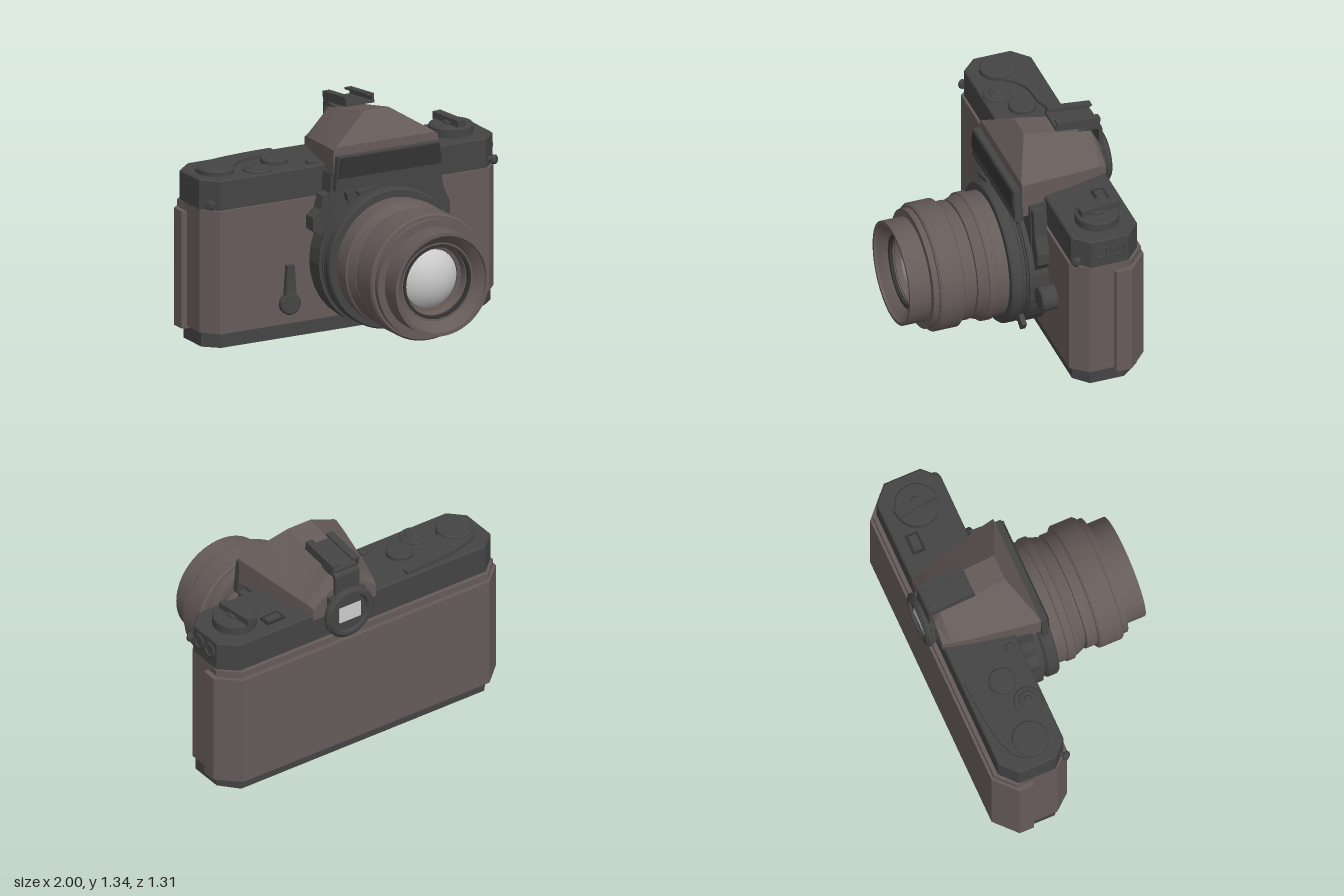
import * as THREE from 'three';
import { toCreasedNormals } from 'three/addons/utils/BufferGeometryUtils.js';

const mat = (color) => new THREE.MeshStandardMaterial({ color });
const brown = mat(0x655b59), dark = mat(0x444444), black = mat(0x333333), glass = mat(0xcccccc);
const CX = 0.13, LY = 0.455; // lens axis

export function createModel() {
  const camera = new THREE.Group();
  camera.name = 'camera';

  const add = (name, geo, material, x = 0, y = 0, z = 0) => {
    const mesh = new THREE.Mesh(geo, material);
    mesh.name = name;
    mesh.position.set(x, y, z);
    camera.add(mesh);
    return mesh;
  };
  const box = (name, m, w, h, d, x, y, z) => add(name, new THREE.BoxGeometry(w, h, d), m, x, y, z);
  const shapeOf = (pts) => new THREE.Shape(pts.map(([x, y]) => new THREE.Vector2(x, y)));
  // plan outline given as [x, z], raised from y0 to y1
  const slab = (name, m, pts, y0, y1, bevel = 0) => {
    const geo = new THREE.ExtrudeGeometry(shapeOf(pts.map(([x, z]) => [x, -z])), {
      depth: y1 - y0 - bevel, bevelEnabled: bevel > 0, bevelSize: bevel, bevelThickness: bevel,
      bevelOffset: -bevel, bevelSegments: 1, curveSegments: 10 });
    return add(name, geo.rotateX(-Math.PI / 2), m, 0, y0, 0);
  };
  // front outline given as [x, y], between two depths
  const plate = (name, m, shape, z0, z1) => add(name, new THREE.ExtrudeGeometry(shape,
    { depth: z1 - z0, bevelEnabled: false, curveSegments: 16 }), m, 0, 0, z0);
  // right half of a plan, mirrored to a closed outline
  const mirrored = (half) => [...half, ...half.slice().reverse().map(([x, z]) => [-x, z])];
  // turned part from [radius, height] points
  const lathe = (pts, seg = 64) => toCreasedNormals(
    new THREE.LatheGeometry(pts.map(([r, h]) => new THREE.Vector2(r, h)), seg), 0.5);
  const knob = (r, h, c = 0.008) => lathe([[0, 0], [r, 0], [r, h - c], [r - c, h], [0, h]], 40);

  // body shell
  slab('body', brown, mirrored([[0.89, -0.155], [0.97, -0.25], [0.97, -0.5], [0.88, -0.58]]), 0.09, 0.83);
  slab('backDoor', brown, mirrored([[0.97, -0.4], [1, -0.41], [1, -0.5], [0.87, -0.62]]), 0.075, 0.78);
  slab('doorRail', brown, mirrored([[0.96, -0.365], [0.98, -0.5], [0.87, -0.605]]), 0.79, 0.83);
  slab('bottomPlate', dark, mirrored([[0.87, -0.18], [0.955, -0.26], [0.955, -0.47], [0.86, -0.58]]), 0, 0.09);
  slab('topCover', dark, mirrored([[0.88, -0.17], [0.97, -0.26], [0.97, -0.49], [0.87, -0.58]]), 0.83, 1.01, 0.008);

  // lens mount and the housing behind it
  const mount = new THREE.Shape();
  mount.absarc(CX, LY, 0.43, 0, Math.PI * 2);
  plate('mountPlate', dark, mount, -0.16, -0.04);
  plate('mountTower', dark, shapeOf([[-0.22, 0.5], [0.49, 0.5], [0.49, 0.85], [0.47, 0.98], [-0.2, 0.98], [-0.21, 0.85]]), -0.18, -0.07);
  plate('mountFront', dark, shapeOf([[-0.1, 0.75], [0.36, 0.75], [0.38, 0.86], [0.3, 0.9], [-0.04, 0.9], [-0.12, 0.86]]), -0.08, -0.03);
  plate('leftShoulder', dark, shapeOf([[0.4, 0.57], [0.54, 0.57], [0.585, 0.63], [0.585, 0.7], [0.54, 0.8], [0.52, 0.96], [0.4, 0.96]]), -0.15, -0.075);
  plate('rightShoulder', dark, shapeOf([[-0.15, 0.57], [-0.25, 0.6], [-0.32, 0.65], [-0.32, 0.73], [-0.27, 0.77], [-0.25, 0.85], [-0.15, 0.88]]), -0.155, -0.075);

  // lens barrel, turned around the optical axis
  const alongZ = (name, pts, m, x, y, z = 0, seg = 64) => add(name, lathe(pts, seg).rotateX(Math.PI / 2), m, x, y, z);
  alongZ('apertureRing', [[0.3, -0.05], [0.41, -0.05], [0.41, -0.03], [0.395, -0.03], [0.395, -0.015], [0.41, -0.01], [0.42, 0],
    [0.42, 0.055], [0.412, 0.066], [0.37, 0.066]], dark, CX, LY);
  alongZ('lensBarrel', [[0.37, 0.06], [0.37, 0.135], [0.38, 0.14], [0.38, 0.185], [0.37, 0.192], [0.348, 0.25], [0.325, 0.25],
    [0.325, 0.268], [0.353, 0.268], [0.353, 0.335], [0.37, 0.335], [0.38, 0.345], [0.38, 0.478], [0.37, 0.49], [0.355, 0.49],
    [0.355, 0.525], [0.31, 0.525], [0.31, 0.655], [0.29, 0.655], [0.285, 0.64], [0.245, 0.605], [0.235, 0.59], [0.225, 0.59],
    [0.215, 0.56], [0.205, 0.56], [0.195, 0.52], [0.175, 0.515], [0.175, 0.49]], brown, CX, LY);
  alongZ('frontRing', [[0.222, 0.585], [0.222, 0.592], [0.206, 0.592], [0.206, 0.57]], black, CX, LY);
  const dome = new THREE.SphereGeometry(0.25, 48, 12, 0, Math.PI * 2, 0, 0.775).rotateX(Math.PI / 2);
  add('frontGlass', dome, glass, CX, LY, 0.325);
  const tab = box('apertureTab', dark, 0.07, 0.06, 0.03, 0.5, 0.195, -0.01);
  tab.rotation.z = -0.6;
  alongZ('indexPin', knobPoints(0.022, 0.03), dark, -0.06, 0.875, 0, 24);
  box('meterCoupling', dark, 0.14, 0.022, 0.025, -0.01, 0.885, 0.03).rotation.z = 0.25;

  // prism housing, lofted front to back: [z, half width, base, shoulder, top half width, top]
  const sections = [
    [-0.02, 0.345, 0.975, 1.135, 0.33, 1.15], [-0.13, 0.325, 0.975, 1.125, 0.08, 1.308],
    [-0.4, 0.27, 0.975, 1.09, 0.085, 1.25], [-0.54, 0.235, 0.975, 1.07, 0.085, 1.225], [-0.585, 0.22, 0.975, 1.05, 0.1, 1.14]];
  add('prismHousing', loft(sections.map(([z, w, b, s, tw, t]) =>
    [[-w, b, z], [w, b, z], [w, s, z], [tw, t, z], [-tw, t, z], [-w, s, z]])), brown, CX, 0, 0);
  box('prismNeck', brown, 0.64, 0.08, 0.13, CX, 0.94, -0.1);
  plate('prismFrontPanel', dark, shapeOf([[-0.225, 0.9], [0.485, 0.9], [0.465, 1.1], [-0.205, 1.1]]), -0.015, 0.025);
  plate('prismFrontInset', black, shapeOf([[-0.21, 0.975], [0.47, 0.975], [0.455, 1.095], [-0.195, 1.095]]), 0.02, 0.036);

  // accessory shoe on a bent strap
  const shoe = new THREE.Group();
  shoe.name = 'accessoryShoe';
  shoe.position.set(CX, 1.285, -0.46);
  shoe.rotation.x = -0.11;
  const shoePart = (w, h, d, x, y) => {
    const part = new THREE.Mesh(new THREE.BoxGeometry(w, h, d), dark);
    part.name = 'shoePart';
    part.position.set(x, y, 0);
    shoe.add(part);
  };
  shoePart(0.19, 0.015, 0.27, 0, -0.012);
  for (const s of [-1, 1]) {
    shoePart(0.014, 0.05, 0.27, s * 0.088, 0.007);
    shoePart(0.045, 0.012, 0.27, s * 0.072, 0.03);
  }
  camera.add(shoe);
  const strap = new THREE.Shape();
  strap.moveTo(0.43, 1.235);
  strap.lineTo(0.585, 1.25);
  strap.quadraticCurveTo(0.612, 1.25, 0.612, 1.22);
  [[0.612, 1.02], [0.592, 1.02], [0.592, 1.215], [0.58, 1.23], [0.43, 1.215]].forEach(([a, b]) => strap.lineTo(a, b));
  const strapGeo = new THREE.ExtrudeGeometry(strap, { depth: 0.17, bevelEnabled: false });
  add('shoeStrap', strapGeo.rotateY(Math.PI / 2), dark, CX - 0.085, 0, 0);

  // eyepiece
  const eye = lathe([[0.155, 0], [0.155, 0.012], [0.165, 0.02], [0.165, 0.035], [0.145, 0.052], [0.125, 0.052], [0.115, 0.035], [0, 0.035]], 48);
  add('eyepiece', eye.rotateX(-Math.PI / 2), dark, CX, 0.978, -0.6);
  box('eyepieceNeck', dark, 0.25, 0.22, 0.05, CX, 0.99, -0.59);
  box('eyepieceWindow', glass, 0.15, 0.1, 0.008, CX, 0.978, -0.636);

  // controls on the top cover
  const topKnob = (name, x, z, r, h, y = 1.005) => add(name, knob(r, h), dark, x, y, z);
  topKnob('rewindDial', 0.76, -0.375, 0.13, 0.062);
  topKnob('rewindHub', 0.76, -0.375, 0.045, 0.08);
  box('rewindCrank', dark, 0.055, 0.045, 0.25, 0.755, 1.083, -0.39).rotation.y = 0.12;
  topKnob('windHub', -0.81, -0.35, 0.108, 0.038);
  topKnob('shutterCollar', -0.585, -0.265, 0.085, 0.02);
  topKnob('shutterRing', -0.585, -0.265, 0.055, 0.03);
  topKnob('shutterButton', -0.585, -0.265, 0.025, 0.038);
  topKnob('speedDial', -0.42, -0.355, 0.08, 0.034);
  topKnob('smallButton', -0.25, -0.23, 0.03, 0.03);
  box('counterFrame', black, 0.125, 0.016, 0.08, 0.56, 1.012, -0.472);
  box('counterWindow', dark, 0.095, 0.02, 0.05, 0.56, 1.012, -0.472);
  const lever = new THREE.Shape();
  lever.moveTo(-0.92, 0.37);
  lever.bezierCurveTo(-0.9, 0.52, -0.72, 0.55, -0.335, 0.56);
  lever.bezierCurveTo(-0.32, 0.48, -0.4, 0.45, -0.5, 0.45);
  lever.bezierCurveTo(-0.62, 0.45, -0.66, 0.38, -0.71, 0.33);
  lever.lineTo(-0.81, 0.28);
  const leverGeo = new THREE.ExtrudeGeometry(lever, { depth: 0.022, bevelEnabled: false, curveSegments: 12 });
  add('windLever', leverGeo.rotateX(-Math.PI / 2), dark, 0, 1.005, 0);

  // controls on the front
  alongZ('releaseButton', knobPoints(0.075, 0.1), dark, 0.64, 0.435, -0.16, 40);
  alongZ('timerHub', knobPoints(0.066, 0.04), dark, -0.435, 0.215, -0.16, 40);
  plate('timerLever', dark, shapeOf([[-0.475, 0.22], [-0.395, 0.22], [-0.412, 0.445], [-0.458, 0.445]]), -0.155, -0.125);

  // strap lugs on the front corners
  for (const s of [-1, 1]) {
    const lug = lathe([[0, 0], [0.015, 0], [0.015, 0.035], [0.028, 0.04], [0.028, 0.06], [0.018, 0.068], [0, 0.068]], 20);
    lug.rotateX(Math.PI / 2).rotateY(s * 0.8);
    add('strapLug', lug, dark, s * 0.9, 0.87, -0.215);
  }

  // cable sockets on the left end
  for (const z of [-0.32, -0.425]) {
    const socket = lathe([[0.05, 0], [0.05, 0.01], [0.036, 0.012], [0.033, 0.003], [0, 0.003]], 28);
    add('cableSocket', socket.rotateZ(-Math.PI / 2), dark, 0.968, 0.93, z);
  }
  return camera;
}

const knobPoints = (r, h) => [[0, 0], [r, 0], [r, h - 0.008], [r - 0.008, h], [0, h]];

// skin over equal rings, each counter-clockwise from the front, ordered front to back
function loft(rings) {
  const n = rings[0].length, index = [], last = (rings.length - 1) * n;
  for (let k = 0; k < rings.length - 1; k++) for (let i = 0; i < n; i++) {
    const a = k * n + i, b = k * n + (i + 1) % n;
    index.push(a, a + n, b, b, a + n, b + n);
  }
  for (let i = 1; i < n - 1; i++) index.push(0, i, i + 1, last, last + i + 1, last + i);
  const geo = new THREE.BufferGeometry();
  geo.setAttribute('position', new THREE.Float32BufferAttribute(rings.flat(2), 3));
  geo.setIndex(index);
  return toCreasedNormals(geo, 0.2);
}
